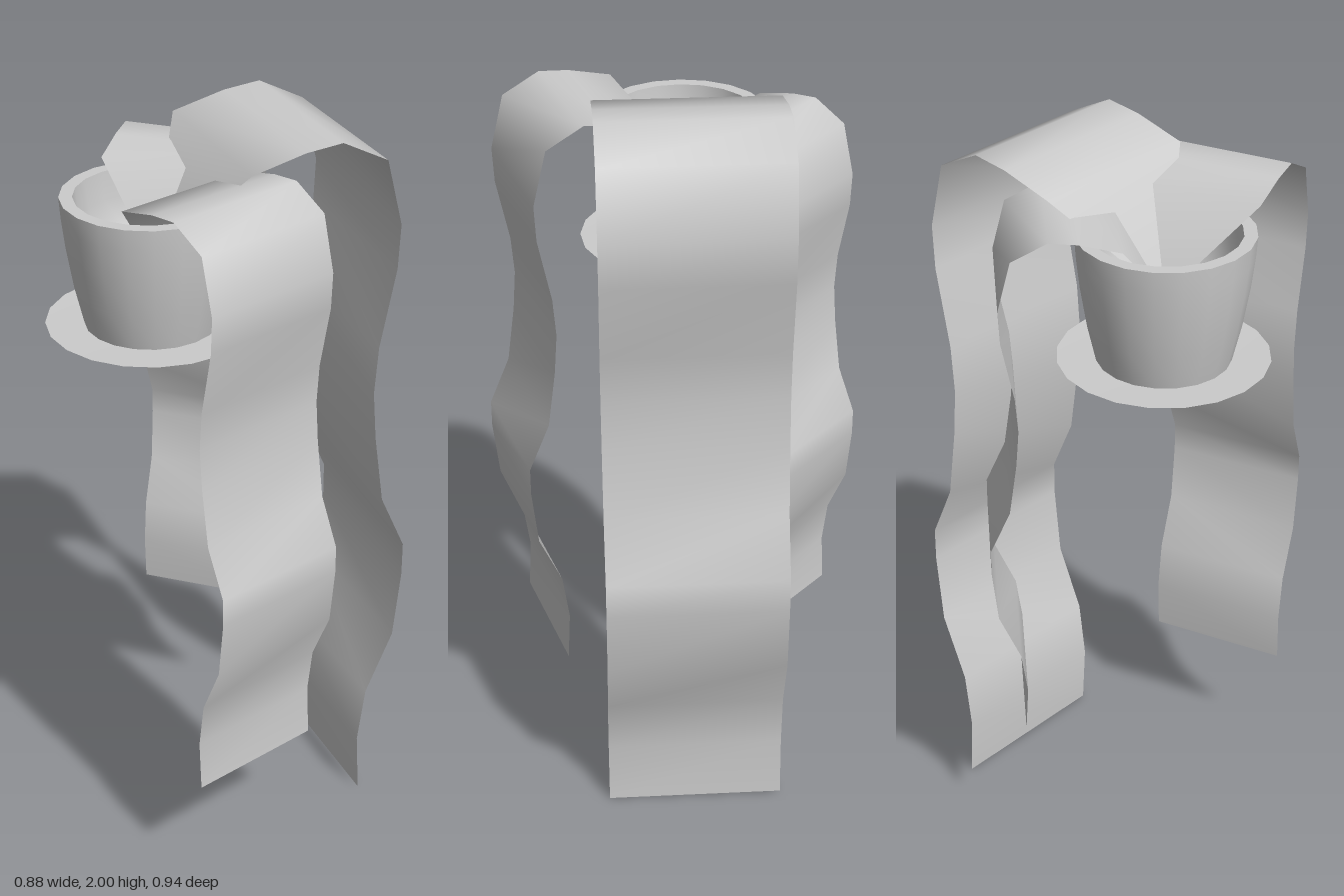
import * as THREE from 'three';
import { toCreasedNormals } from 'three/addons/utils/BufferGeometryUtils.js';

const material = new THREE.MeshStandardMaterial({ color: 0xcccccc, side: THREE.DoubleSide });

// Centre of the pot, and the height where the leaves spring from it
const CX = -0.06, CZ = 0.2, ROOT_Y = 1.67;

// Side profile of a full-size leaf: [distance outwards, height above the root]
const LEAF = [
  [0, 0], [0.166, 0.285], [0.31, 0.32], [0.41, 0.33], [0.535, 0.265], [0.58, 0.085],
  [0.574, -0.035], [0.53, -0.25], [0.52, -0.38], [0.53, -0.515], [0.557, -0.71],
  [0.628, -0.87], [0.628, -0.965], [0.607, -1.16], [0.53, -1.335], [0.508, -1.495], [0.517, -1.67],
];
const LEAF_HALF_WIDTH = 0.24;

// A strip that starts as a point, arches over the rim and hangs down in waves
function leafGeometry() {
  const geo = new THREE.PlaneGeometry(2, 1, 1, LEAF.length - 1);
  const pos = geo.attributes.position;
  for (let i = 0; i < pos.count; i++) {
    const row = i >> 1;
    const [out, up] = LEAF[row];
    const half = row === 0 ? 0 : LEAF_HALF_WIDTH;
    pos.setXYZ(i, out, up, -pos.getX(i) * half);
  }
  geo.computeVertexNormals();
  return geo;
}

function lathe(name, profile, crease) {
  const points = profile.map(([r, y]) => new THREE.Vector2(r, y));
  const geo = toCreasedNormals(new THREE.LatheGeometry(points, 20), crease);
  const mesh = new THREE.Mesh(geo, material);
  mesh.name = name;
  mesh.position.set(CX, 0, CZ);
  return mesh;
}

export function createModel() {
  const model = new THREE.Group();
  model.name = 'hangingPlant';

  // Pot with a thick rim and a rounded inside
  model.add(lathe('pot', [
    [0, 1.5], [0.172, 1.5], [0.195, 1.6], [0.213, 1.71], [0.222, 1.79], [0.226, 1.846],
    [0.192, 1.846], [0.186, 1.77], [0.165, 1.68], [0.12, 1.62], [0.06, 1.595], [0, 1.59],
  ], 0.65));

  // Thin, shallow saucer
  model.add(lathe('saucer', [
    [0, 1.49], [0.19, 1.492], [0.272, 1.505], [0.19, 1.503], [0, 1.503],
  ], 0.65));

  // Three leaves: compass angle around the pot and size
  const geo = leafGeometry();
  const leaves = [
    ['leftLeaf', 0, 0.797],
    ['backLeaf', 73.7, 1],
    ['rightLeaf', 121, 0.723],
  ];
  for (const [name, angle, size] of leaves) {
    const leaf = new THREE.Mesh(geo, material);
    leaf.name = name;
    leaf.position.set(CX, ROOT_Y, CZ);
    leaf.rotation.y = THREE.MathUtils.degToRad(angle);
    leaf.scale.setScalar(size);
    model.add(leaf);
  }
  return model;
}
